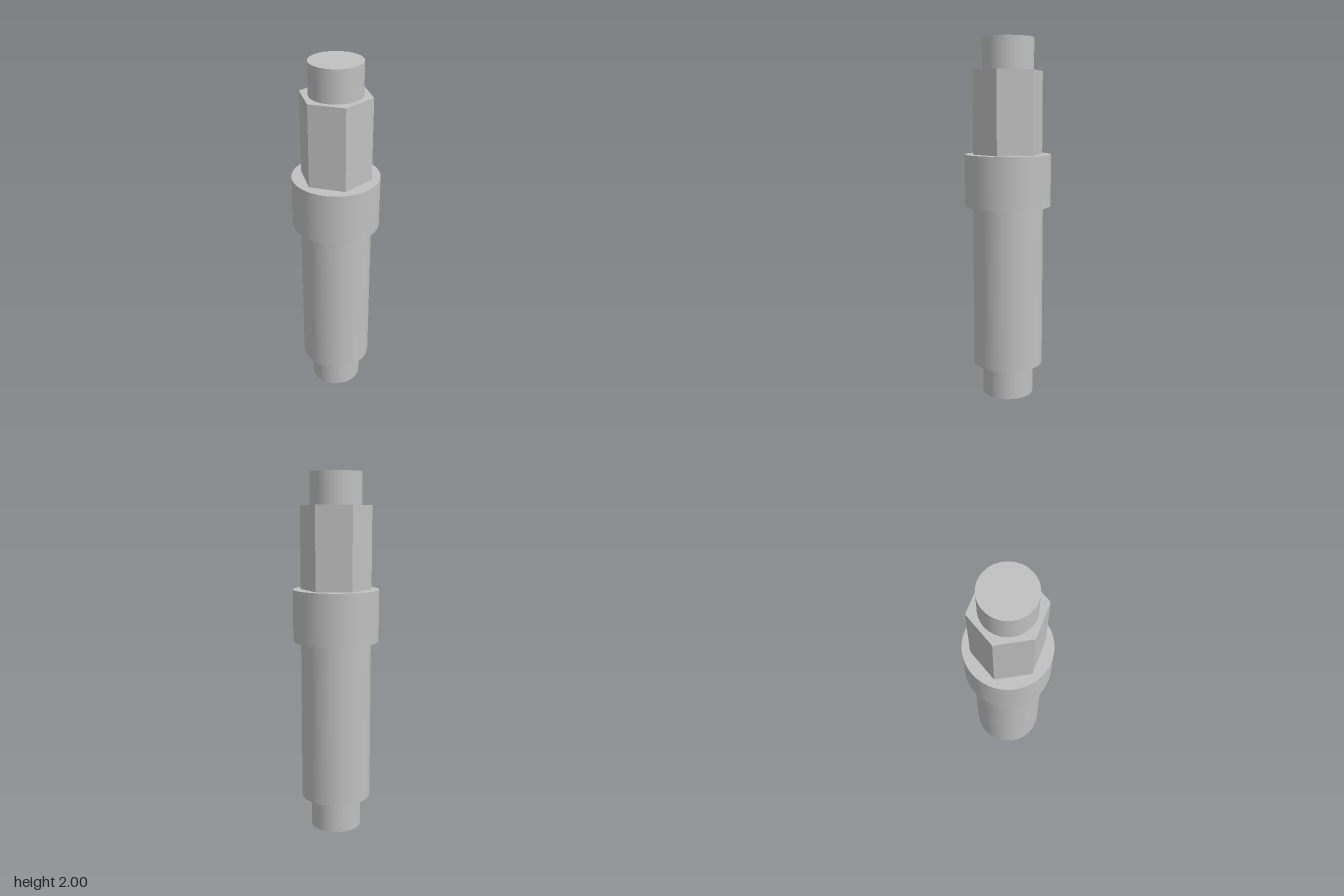
import * as THREE from 'three';

export function createModel() {
  const model = new THREE.Group();
  model.name = 'steppedShaft';

  const steel = new THREE.MeshStandardMaterial({ color: 0xc0c0c0 });
  steel.name = 'light grey metal';
  const steelFlat = new THREE.MeshStandardMaterial({ color: 0xc0c0c0, flatShading: true });
  steelFlat.name = 'light grey metal, faceted';

  // One upright section of the shaft, from y0 to y1
  function section(name, radius, y0, y1, sides = 96, start = 0) {
    const geometry = new THREE.CylinderGeometry(radius, radius, y1 - y0, sides, 1, false, start);
    const mesh = new THREE.Mesh(geometry, sides > 6 ? steel : steelFlat);
    mesh.name = name;
    mesh.position.y = (y0 + y1) / 2;
    model.add(mesh);
  }

  section('lowerJournal', 0.142, 0, 0.18);
  section('body', 0.195, 0.18, 1.085);
  section('collar', 0.238, 1.085, 1.372);
  // Hexagon with corners on the x axis
  section('hexSection', 0.196, 1.372, 1.825, 6, Math.PI / 6);
  section('upperJournal', 0.142, 1.825, 2);

  return model;
}
